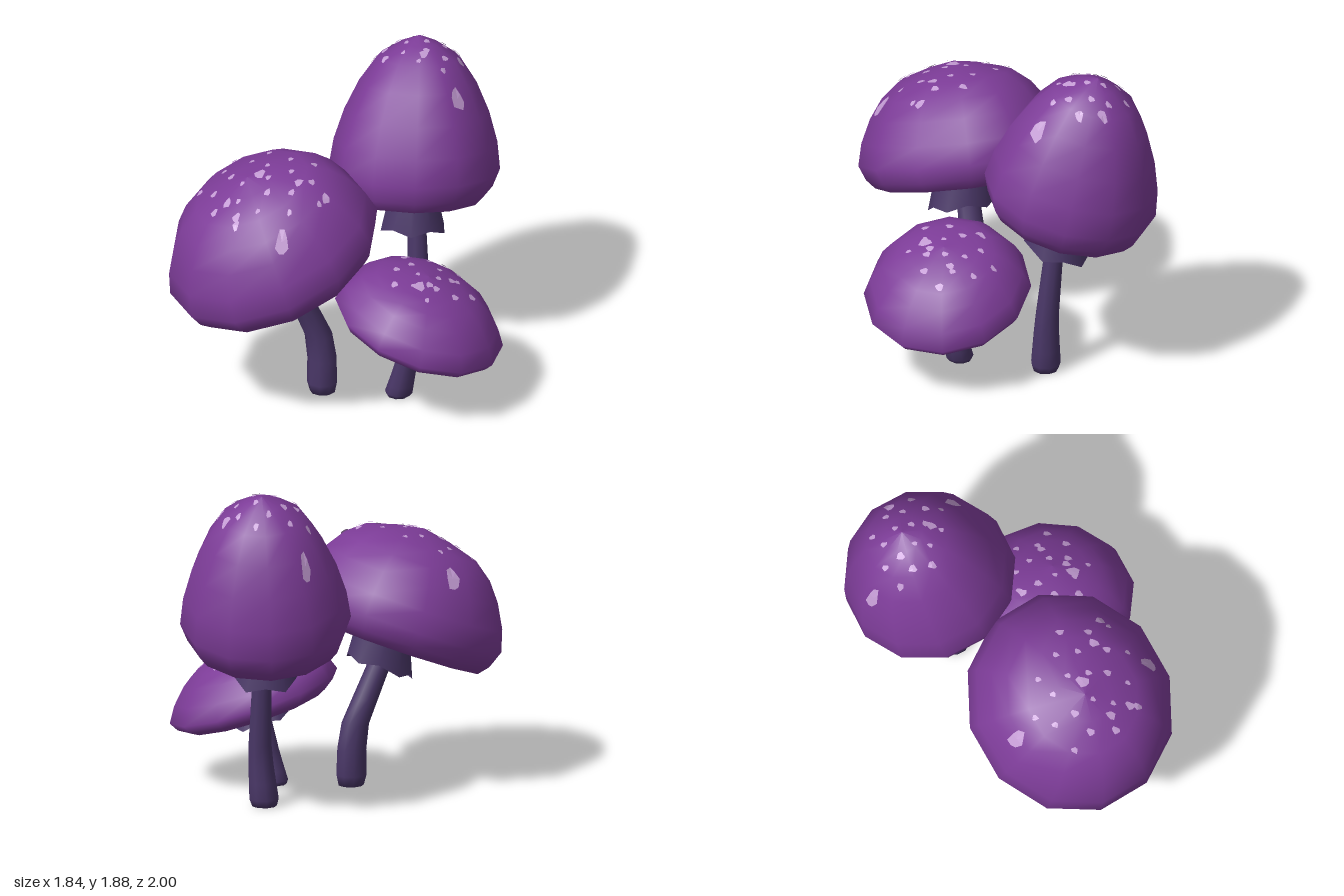
import * as THREE from 'three';

const GOLDEN = Math.PI * (3 - Math.sqrt(5));

const mat = (name, color, side = THREE.FrontSide) => {
  const m = new THREE.MeshStandardMaterial({ color, side });
  m.name = name;
  return m;
};
const capMat = mat('cap purple', 0x7d3c98);
const spotMat = mat('spot lilac', 0xc39bd3, THREE.DoubleSide);
const stemMat = mat('stem violet', 0x4a3768, THREE.DoubleSide);

function toGeometry(pos, index) {
  const g = new THREE.BufferGeometry();
  g.setAttribute('position', new THREE.Float32BufferAttribute(pos, 3));
  if (index) g.setIndex(index);
  g.computeVertexNormals();
  return g;
}

// Skin closed rings of points together; place(ring, angle, j, i) gives each point
function loft(rings, sides, place) {
  const pos = [], index = [];
  rings.forEach((ring, i) => {
    for (let j = 0; j < sides; j++) {
      pos.push(...place(ring, (j / sides) * Math.PI * 2, j, i));
      if (i === rings.length - 1) continue;
      const a = i * sides + j, b = i * sides + ((j + 1) % sides);
      index.push(a, a + sides, b, b, a + sides, b + sides);
    }
  });
  return toGeometry(pos, index);
}

// Thin irregular patches dropped onto the cap from above:
// a few large ones by x, z and size, and small ones scattered in a spiral
function spotGeometry(cap, { large, center, spread, count }) {
  const ray = new THREE.Raycaster(), down = new THREE.Vector3(0, -1, 0);
  const drop = (x, z) => {
    ray.set(new THREE.Vector3(x, 5, z), down);
    const hit = ray.intersectObject(cap)[0];
    return hit.point.addScaledVector(hit.face.normal, 0.008);
  };
  const small = Array.from({ length: count }, (_, k) => {
    const far = Math.sqrt((k + 0.5) / count);
    return [
      center[0] + spread[0] * far * Math.cos(k * GOLDEN),
      center[1] + spread[1] * far * Math.sin(k * GOLDEN),
      0.019 + 0.004 * Math.sin(k * 5),
    ];
  });
  const pos = [], sides = 8;
  [...large, ...small].forEach(([x, z, size], k) => {
    const mid = drop(x, z);
    const rim = Array.from({ length: sides }, (_, j) => {
      const t = (j / sides) * Math.PI * 2;
      const r = size * (0.95 + 0.18 * Math.sin(k * 5 + j * 2.4));
      return drop(x + r * 0.85 * Math.cos(t), z + r * 1.1 * Math.sin(t));
    });
    rim.forEach((p, j) => {
      for (const v of [mid, rim[(j + 1) % sides], p]) pos.push(v.x, v.y, v.z);
    });
  });
  return toGeometry(pos);
}

// center: middle of the cap rim; slope: rise of the rim along x and z;
// lean: sideways drift per unit of height; turn: spin of the cap corners;
// profile: radius and height pairs; lip: inner edge of the rim as a share of its radius
function mushroom({ name, center, slope, lean, turn, profile, lip, hollow, skirt, stem, spots }) {
  const group = new THREE.Group();
  group.name = name;
  const add = (part, geometry, material) => {
    const mesh = new THREE.Mesh(geometry, material);
    mesh.name = part;
    group.add(mesh);
    return mesh;
  };
  const [cx, cy, cz] = center;
  const tilt = (x, z) => x * slope[0] + z * slope[1];
  const onCap = ({ x: r, y: h }, t) => {
    const x = r * Math.cos(t + turn) + lean[0] * h;
    const z = r * Math.sin(t + turn) + lean[1] * h;
    return [cx + x, cy + h + tilt(x, z), cz + z];
  };
  const point = (r, h) => new THREE.Vector2(r, h);

  // Cap with a small inward lip
  const outline = new THREE.SplineCurve(profile.map((p) => point(...p))).getPoints(8);
  const [rimR, rimH] = profile[0];
  const inner = point(rimR * lip, rimH + 0.01);
  const cap = add('cap', loft([inner, ...outline], 12, onCap), capMat);
  add('spots', spotGeometry(cap, spots), spotMat);

  // Faceted hollow underside
  const under = [point(0, hollow), point(0.15, hollow), point(rimR * 0.65, hollow * 0.6), inner];
  const facets = loft(under, 12, onCap).toNonIndexed();
  facets.computeVertexNormals();
  add('underside', facets, stemMat);

  // Flared skirt with a ragged hem, hanging from the underside
  const [sx, sy, sz] = skirt.hem;
  const skirtRings = [
    [sx, sy, sz, skirt.hemRadius],
    [(sx + cx) / 2, cy + hollow + 0.02, (sz + cz) / 2, skirt.topRadius],
  ];
  add('skirt', loft(skirtRings, 10, ([x, y, z, r], t, j, i) => {
    const ragged = i === 0 ? (j % 2 ? -1 : 1) : 0;
    const dx = r * (1 + 0.03 * ragged) * Math.cos(t);
    const dz = r * (1 + 0.03 * ragged) * Math.sin(t);
    return [x + dx, y + tilt(dx, dz) - 0.015 * ragged, z + dz];
  }), stemMat);

  // Bent, tapering stem with a closed, chamfered foot
  const path = new THREE.CatmullRomCurve3(stem.path.map((p) => new THREE.Vector3(...p)));
  const stemRings = [0, 0.06, 0.2, 0.35, 0.5, 0.75, 1].map((t) => ({
    p: path.getPoint(t),
    r: THREE.MathUtils.lerp(stem.footRadius, stem.topRadius, t) * (t === 0 ? 0.82 : 1),
  }));
  stemRings.unshift({ p: path.getPoint(0), r: 0 });
  add('stem', loft(stemRings, 9, ({ p, r }, t) =>
    [p.x + r * Math.cos(t), p.y, p.z + r * Math.sin(t)]), stemMat);
  return group;
}

export function createModel() {
  const model = new THREE.Group();
  model.name = 'mushroomCluster';

  // Broad mushroom leaning forward and to its right
  model.add(mushroom({
    name: 'frontMushroom',
    center: [-0.305, 0.825, 0.39], slope: [0.28, -0.28], lean: [-0.2, 0.2], turn: 0,
    profile: [[0.51, -0.02], [0.592, 0.13], [0.5, 0.41], [0.32, 0.615], [0, 0.705]],
    lip: 0.94, hollow: 0.19,
    skirt: { hem: [-0.23, 0.67, 0.37], hemRadius: 0.19, topRadius: 0.13 },
    stem: { path: [[-0.105, 0, 0.235], [-0.125, 0.34, 0.235], [-0.235, 0.66, 0.33], [-0.3, 0.95, 0.4]], footRadius: 0.09, topRadius: 0.06 },
    spots: {
      large: [[-0.72, 0.2, 0.045], [-0.38, 0.5, 0.037], [-0.14, 0.51, 0.028], [0.02, 0.51, 0.025], [-0.12, 0.82, 0.042], [-0.5, 0.69, 0.026], [-0.41, 0.78, 0.026]],
      center: [-0.38, 0.52], spread: [0.39, 0.32], count: 22,
    },
  }));

  // Tall bell-shaped mushroom at the back
  model.add(mushroom({
    name: 'backMushroom',
    center: [0.165, 0.975, -0.47], slope: [0.07, 0.24], lean: [-0.04, -0.2], turn: 0.13,
    profile: [[0.4, -0.02], [0.485, 0.15], [0.41, 0.5], [0.235, 0.825], [0, 0.955]],
    lip: 0.97, hollow: 0.16,
    skirt: { hem: [0.18, 0.77, -0.43], hemRadius: 0.185, topRadius: 0.1 },
    stem: { path: [[0.21, 0, -0.37], [0.23, 0.36, -0.39], [0.18, 1.1, -0.45]], footRadius: 0.088, topRadius: 0.045 },
    spots: {
      large: [[-0.16, -0.76, 0.033], [0.3, -0.77, 0.028], [0.21, -0.51, 0.027], [0.44, -0.44, 0.042]],
      center: [0.14, -0.62], spread: [0.27, 0.22], count: 18,
    },
  }));

  // Small flat mushroom tipping to its left
  model.add(mushroom({
    name: 'smallMushroom',
    center: [0.435, 0.46, 0.135], slope: [-0.33, 0.05], lean: [0.18, -0.02], turn: 0.13,
    profile: [[0.39, -0.045], [0.475, 0.04], [0.36, 0.23], [0.2, 0.325], [0, 0.36]],
    lip: 0.88, hollow: 0.09,
    skirt: { hem: [0.39, 0.37, 0.13], hemRadius: 0.175, topRadius: 0.1 },
    stem: { path: [[0.31, 0, 0.12], [0.36, 0.2, 0.13], [0.43, 0.55, 0.13]], footRadius: 0.082, topRadius: 0.05 },
    spots: {
      large: [[0.49, 0.25, 0.037], [0.3, 0, 0.025], [0.6, 0.04, 0.023], [0.53, 0.2, 0.023]],
      center: [0.5, 0.1], spread: [0.25, 0.27], count: 16,
    },
  }));
  return model;
}
